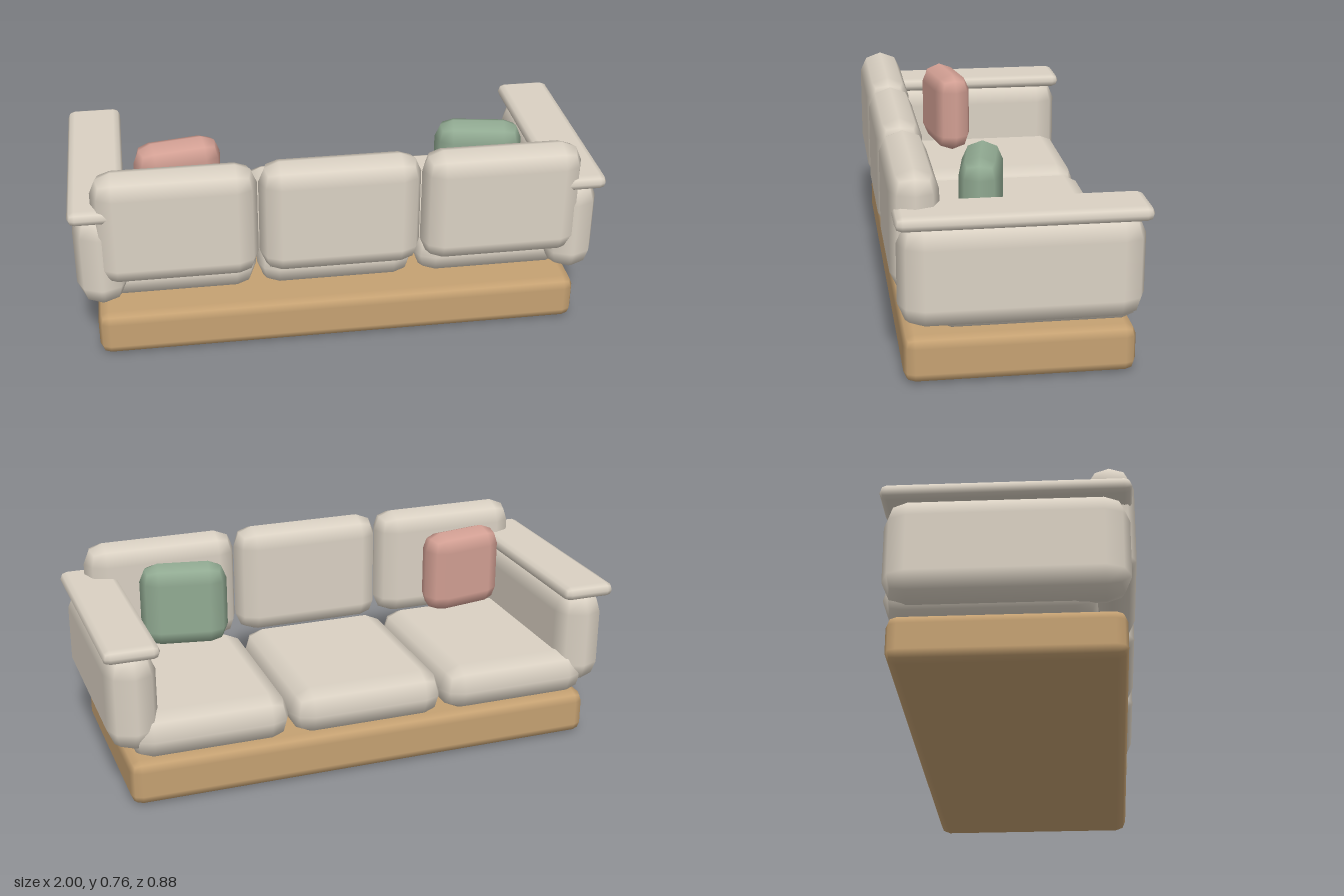
import * as THREE from 'three';
import { RoundedBoxGeometry } from 'three/addons/geometries/RoundedBoxGeometry.js';

const material = (name, color) => {
  const m = new THREE.MeshStandardMaterial({ color });
  m.name = name;
  return m;
};

export function createModel() {
  const sofa = new THREE.Group();
  sofa.name = 'sofa';
  const fabric = material('beige fabric', 0xdad1c3);
  const wood = material('light wood', 0xc5a172);
  const green = material('sage green', 0x91aa92);
  const pink = material('dusty pink', 0xd3a094);

  // Soft box given by its min and max corners, with a rounding radius along each axis
  function softBox(name, mat, [x0, y0, z0], [x1, y1, z1], [rx, ry, rz]) {
    const geometry = new RoundedBoxGeometry((x1 - x0) / rx, (y1 - y0) / ry, (z1 - z0) / rz, 1, 1);
    geometry.scale(rx, ry, rz);
    const mesh = new THREE.Mesh(geometry, mat);
    mesh.name = name;
    mesh.position.set((x0 + x1) / 2, (y0 + y1) / 2, (z0 + z1) / 2);
    sofa.add(mesh);
    return mesh;
  }

  // Wooden plinth
  softBox('base', wood, [-0.922, 0, -0.413], [0.92, 0.175, 0.404], [0.04, 0.04, 0.04]);

  // Three seat cushions and three back cushions
  ['right', 'middle', 'left'].forEach((side, i) => {
    const x = -0.001 + (i - 1) * 0.61;
    softBox(side + 'SeatCushion', fabric, [x - 0.303, 0.175, -0.434], [x + 0.303, 0.357, 0.305], [0.08, 0.088, 0.075]);
    softBox(side + 'BackCushion', fabric, [x - 0.303, 0.315, 0.268], [x + 0.303, 0.76, 0.441], [0.078, 0.077, 0.086]);
  });

  // Padded arms with flat tops
  for (const [side, s] of [['right', -1], ['left', 1]]) {
    const arm = softBox(side + 'Arm', fabric, [-0.095, 0.215, -0.432], [0.095, 0.605, 0.422], [0.09, 0.088, 0.088]);
    arm.position.x = s * 0.893;
    const top = softBox(side + 'ArmTop', fabric, [-0.104, 0.585, -0.441], [0.104, 0.64, 0.432], [0.0275, 0.0275, 0.0275]);
    top.position.x = s * 0.896;
  }

  // Throw pillows, each turned slightly inward
  for (const [name, mat, x, turn] of [['pinkPillow', pink, -0.585, 0.18], ['greenPillow', green, 0.579, -0.18]]) {
    const pillow = softBox(name, mat, [-0.167, 0.408, -0.0745], [0.167, 0.74, 0.0745], [0.07, 0.07, 0.0745]);
    pillow.position.x = x;
    pillow.position.z = 0.092;
    pillow.rotation.y = turn;
  }
  return sofa;
}
